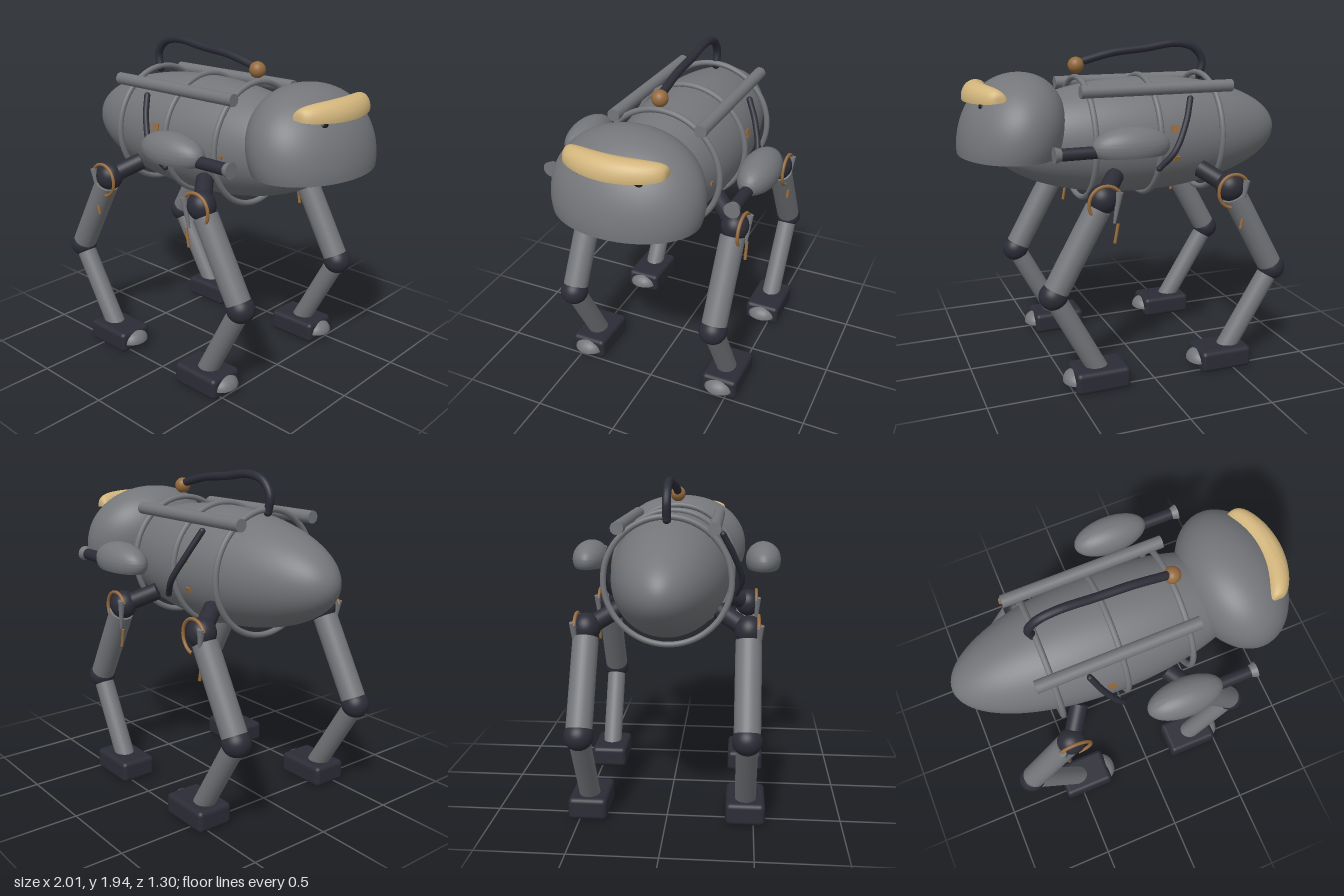
import * as THREE from 'three';
import { toCreasedNormals } from 'three/addons/utils/BufferGeometryUtils.js';
import { RoundedBoxGeometry } from 'three/addons/geometries/RoundedBoxGeometry.js';

const V = (x, y, z) => new THREE.Vector3(x, y, z);
const material = (name, color) => {
  const m = new THREE.MeshStandardMaterial({ color });
  m.name = name;
  return m;
};

export function createModel() {
  const model = new THREE.Group();
  model.name = 'walkingRobot';
  const grey = material('metal grey', 0x74767a);
  const dark = material('joint dark', 0x2c2c37);
  const copper = material('copper', 0x956a3d);
  const tan = material('brow tan', 0xd2b57c);
  const black = material('face black', 0x17171c);

  const add = (name, geo, mat, pos = V(0, 0, 0), parent = model) => {
    const mesh = new THREE.Mesh(geo, mat);
    mesh.name = name;
    mesh.position.copy(pos);
    parent.add(mesh);
    return mesh;
  };
  const ball = (name, mat, pos, rx, ry = rx, rz = rx, parent = model) =>
    add(name, new THREE.SphereGeometry(1, 48, 32).scale(rx, ry, rz), mat, pos, parent);

  // cylinder between two points
  const rod = (name, mat, a, b, r1, r2 = r1, parent = model) => {
    const dir = b.clone().sub(a);
    const geo = new THREE.CylinderGeometry(r2, r1, dir.length(), 28);
    const mesh = add(name, geo, mat, a.clone().add(b).multiplyScalar(0.5), parent);
    mesh.quaternion.setFromUnitVectors(V(0, 1, 0), dir.normalize());
    return mesh;
  };
  // round-ended hose through points
  const hose = (name, points, r) => {
    const curve = new THREE.CatmullRomCurve3(points);
    add(name, new THREE.TubeGeometry(curve, 48, r, 14), dark);
    [points[0], points[points.length - 1]].forEach(p => ball(name + 'End', dark, p, r));
  };
  // ellipsoid cut flat at height "cut" (in radii, from -1 to 1), closed underneath
  const dome = (cut, rx, ry, rz, power = 2) => {
    const start = Math.asin(cut);
    const points = [new THREE.Vector2(0, cut)];
    for (let i = 0; i <= 28; i++) {
      const y = Math.sin(start + (Math.PI / 2 - start) * i / 28);
      points.push(new THREE.Vector2(i === 28 ? 0 : (1 - Math.abs(y) ** power) ** (1 / power), y));
    }
    return new THREE.LatheGeometry(points, 56).scale(rx, ry, rz);
  };
  const bend = (geo, rule) => {
    const p = geo.attributes.position;
    const v = V(0, 0, 0);
    for (let i = 0; i < p.count; i++) {
      rule(v.fromBufferAttribute(p, i));
      p.setXYZ(i, v.x, v.y, v.z);
    }
    return toCreasedNormals(geo, 0.7);
  };

  // Body with hoops and carrying rails
  add('body', new THREE.SphereGeometry(1, 64, 48).rotateZ(Math.PI / 2).scale(0.91, 0.345, 0.345),
    grey, V(-0.09, 1.38, 0));
  for (const x of [-0.48, -0.09, 0.3]) {
    add('bodyHoop', new THREE.TorusGeometry(0.355, 0.017, 12, 72).rotateY(Math.PI / 2), grey, V(x, 1.38, 0));
  }

  // Head: a cut dome leaning slightly back
  add('head', bend(dome(-0.305, 0.3, 0.345, 0.43, 2.12), v => { v.x -= v.y * 0.17; }), grey, V(0.7, 1.43, 0));

  // Brow curves around the head
  const brow = bend(dome(0, 0.082, 0.095, 1), v => {
    v.z = Math.sin(v.z * Math.PI / 2) * 0.29;
    v.x -= 0.85 * v.z * v.z;
  });
  add('brow', brow, tan, V(0.884, 1.638, 0)).rotation.z = -0.1;
  ball('mouth', black, V(0.91, 1.325, 0), 0.016, 0.02, 0.11);

  // Back hose with its ball connector
  hose('backHose', [V(-0.49, 1.72, 0), V(-0.505, 1.81, 0), V(-0.45, 1.885, 0), V(-0.33, 1.915, 0),
    V(-0.12, 1.89, 0), V(0.08, 1.87, 0), V(0.29, 1.82, 0)], 0.024);
  ball('hoseConnector', copper, V(0.303, 1.805, 0), 0.047);

  for (const s of [1, -1]) {
    const side = s > 0 ? 'left' : 'right';
    rod(side + 'Rail', grey, V(-0.575, 1.68, s * 0.26), V(0.36, 1.68, s * 0.26), 0.036);
    ball(side + 'Eye', black, V(0.905, 1.612, s * 0.16), 0.022, 0.022, 0.03).position.x = 0.885;
    hose(side + 'Hose', [V(-0.29, 1.62, s * 0.3), V(-0.24, 1.5, s * 0.36),
      V(-0.15, 1.34, s * 0.41), V(-0.07, 1.24, s * 0.375)], 0.018);

    // Shoulder pod with nozzle
    const z = s * 0.54;
    add(side + 'Pod', toCreasedNormals(dome(-0.45, 0.222, 0.11, 0.108), 0.7), grey, V(0.167, 1.415, z));
    rod(side + 'Nozzle', dark, V(0.3, 1.397, z), V(0.565, 1.397, z), 0.034);
    rod(side + 'NozzleTip', grey, V(0.56, 1.397, z), V(0.597, 1.397, z), 0.034, 0.045);

    // Small copper plates seated on the body
    for (const [x, y, w, h] of [[-0.18, 1.455, 0.045, 0.042], [-0.2, 1.28, 0.035, 0.026], [0.31, 1.36, 0.02, 0.02]]) {
      const radius = 0.345 * Math.sqrt(1 - ((x + 0.09) / 0.91) ** 2);
      const depth = Math.sqrt(radius ** 2 - (y - 1.38) ** 2);
      const plate = add(side + 'BodyPlate', new THREE.BoxGeometry(w, h, 0.016), copper, V(x, y, s * depth));
      plate.rotation.x = -s * Math.asin((y - 1.38) / radius);
    }

    // Legs: [name, hip x, knee x, ankle x, body joint x, foot x]
    for (const [name, hipX, kneeX, ankleX, jointX, footX] of [
      ['FrontLeg', 0.3, 0.595, 0.325, 0.17, 0.333],
      ['BackLeg', -0.485, -0.785, -0.475, -0.37, -0.45],
    ]) {
      const leg = new THREE.Group();
      leg.name = side + name;
      model.add(leg);
      const lz = s * 0.453;
      const hip = V(hipX, 1.115, lz), knee = V(kneeX, 0.585, lz), joint = V(jointX, 1.2, s * 0.29);
      rod('hipArm', dark, joint, hip, 0.052, 0.052, leg);
      ball('hip', dark, hip, 0.085, 0.085, 0.08, leg);
      rod('thigh', grey, hip.clone().lerp(knee, 0.1), knee, 0.073, 0.073, leg);
      ball('knee', dark, knee, 0.082, 0.08, 0.082, leg);
      rod('shin', grey, knee, V(ankleX, 0.08, lz), 0.06, 0.06, leg);
      add('foot', new RoundedBoxGeometry(0.325, 0.13, 0.225, 4, 0.028), dark, V(footX, 0.065, lz), leg);
      add('toe', toCreasedNormals(dome(0, 0.072, 0.068, 0.09), 0.7), grey, V(footX + 0.142, 0.052, lz), leg);

      // Hip ring, fin and cable stub
      const ring = new THREE.TorusGeometry(0.098, 0.01, 10, 48, 4.1).rotateZ(-1.4);
      add('hipRing', ring, copper, V(hipX, 1.1, s * 0.505), leg);
      const finX = hipX - 0.068;
      rod('hipFin', grey, V(finX + 0.02, 0.985, s * 0.505), V(finX - 0.008, 1.16, s * 0.515), 0.008, 0.02, leg);
      rod('cableStub', copper, V(finX - 0.002, 0.98, s * 0.505), V(finX + 0.018, 0.87, s * 0.505), 0.009, 0.009, leg);
    }
  }
  return model;
}
